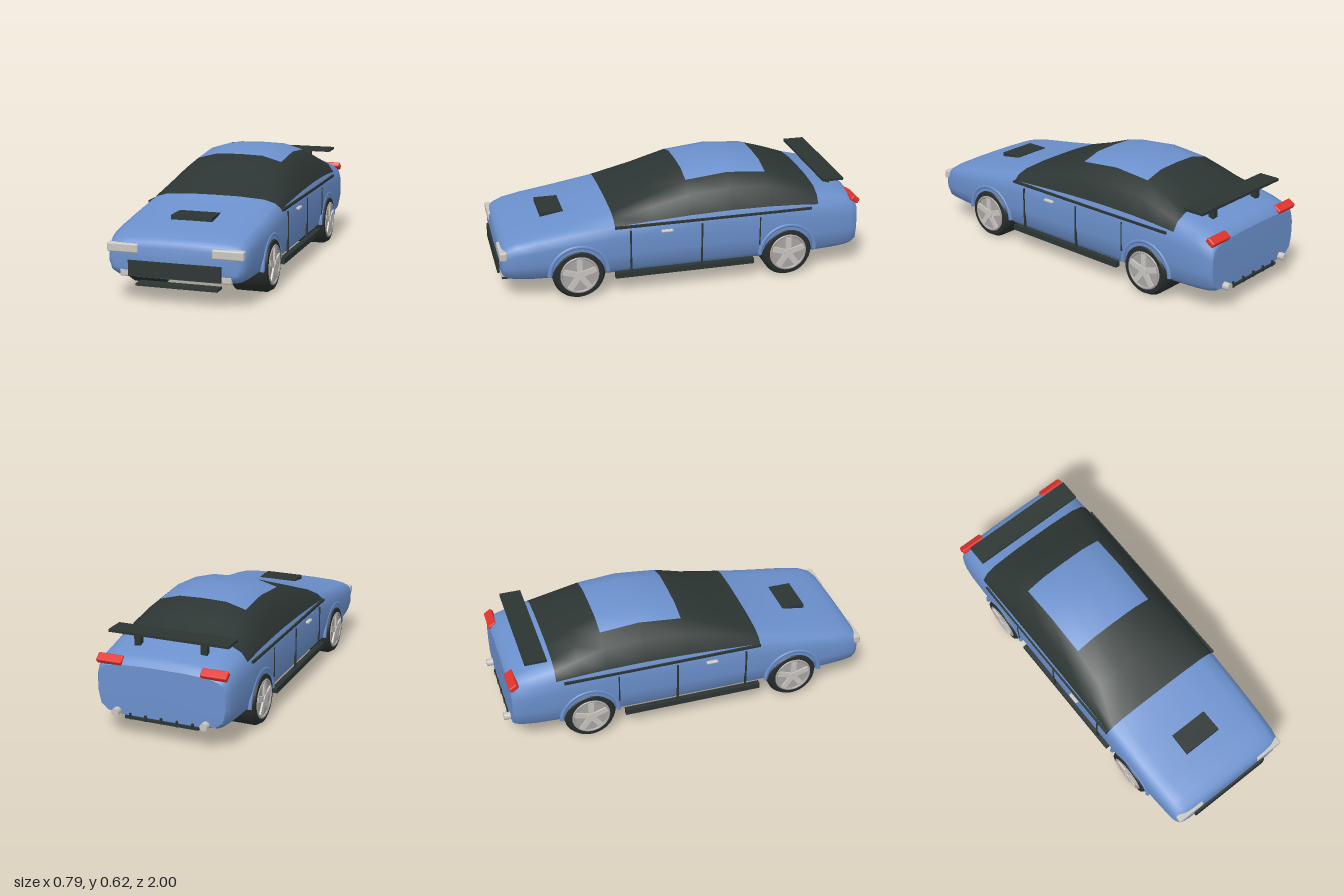
import * as THREE from 'three';
import { toCreasedNormals } from 'three/addons/utils/BufferGeometryUtils.js';
import { RoundedBoxGeometry } from 'three/addons/geometries/RoundedBoxGeometry.js';

const mat = (name, color) => {
  const m = new THREE.MeshStandardMaterial({ color });
  m.name = name;
  return m;
};

export function createModel() {
  const car = new THREE.Group();
  car.name = 'car';
  const blue = mat('bluePaint', 0x6b90cc);
  const dark = mat('darkTrim', 0x2c3533);
  const rubber = mat('tyreRubber', 0x272d2c);
  const silver = mat('silver', 0xc9c6c0);
  const alloy = mat('alloy', 0xaaa5a5);
  const red = mat('redLamp', 0xe0332c);

  const add = (name, geometry, material, x = 0, y = 0, z = 0, parent = car) => {
    const m = new THREE.Mesh(geometry, material);
    m.name = name;
    m.position.set(x, y, z);
    parent.add(m);
    return m;
  };
  const box = (name, material, w, h, d, x, y, z, parent) =>
    add(name, new THREE.BoxGeometry(w, h, d), material, x, y, z, parent);
  const soft = (name, material, w, h, d, x, y, z) =>
    add(name, new RoundedBoxGeometry(w, h, d, 2, 0.008), material, x, y, z);

  // Body stations, front to rear: z, half width, floor, belt line, top, cabin taper
  const stations = [
    [0.985, 0.325, 0.16, 0.25, 0.28, 0],
    [0.975, 0.345, 0.137, 0.275, 0.305, 0],
    [0.95, 0.357, 0.12, 0.295, 0.325, 0],
    [0.9, 0.364, 0.11, 0.315, 0.345, 0],
    [0.8, 0.37, 0.102, 0.332, 0.365, 0],
    [0.6, 0.374, 0.095, 0.358, 0.397, 0],
    [0.39, 0.375, 0.09, 0.385, 0.44, 0],
    [0.18, 0.375, 0.09, 0.398, 0.52, 0.6],
    [-0.02, 0.375, 0.09, 0.408, 0.594, 1],
    [-0.25, 0.375, 0.09, 0.414, 0.621, 1],
    [-0.46, 0.375, 0.09, 0.412, 0.6, 1],
    [-0.6, 0.375, 0.09, 0.406, 0.545, 0.5],
    [-0.73, 0.374, 0.092, 0.396, 0.486, 0],
    [-0.85, 0.37, 0.097, 0.385, 0.452, 0],
    [-0.92, 0.362, 0.103, 0.372, 0.428, 0],
    [-0.95, 0.354, 0.11, 0.36, 0.408, 0],
    [-0.965, 0.342, 0.118, 0.345, 0.385, 0],
  ];
  const section = ([z, w, floor, belt, top, c]) => {
    const s = belt - floor, h = top - belt;
    const half = [
      [0, floor], [0.6 * w, floor], [0.85 * w, floor + 0.05 * s], [0.96 * w, floor + 0.18 * s],
      [w, floor + 0.45 * s], [w, floor + 0.8 * s], [0.965 * w, belt],
      [(0.88 - 0.05 * c) * w, belt + 0.5 * h], [(0.72 - 0.08 * c) * w, belt + 0.82 * h],
      [0.35 * w, belt + 0.98 * h], [0, top],
    ];
    const other = half.slice(1, -1).reverse().map(([x, y]) => [-x, y]);
    return [...half, ...other].map(([x, y]) => [x, y, z]);
  };
  const N = 20, positions = [], paintFaces = [], glassFaces = [];
  stations.forEach((st) => section(st).forEach((p) => positions.push(...p)));
  for (let i = 0; i < stations.length - 1; i++) {
    const zMid = (stations[i][0] + stations[i + 1][0]) / 2;
    for (let j = 0; j < N; j++) {
      const col = Math.min(j, N - 1 - j);
      const cabin = col >= 6 && zMid < 0.39 && zMid > -0.73;
      const roof = col >= 8 && zMid < -0.02 && zMid > -0.46;
      const a = i * N + j, b = i * N + ((j + 1) % N), c = a + N, d = b + N;
      (cabin && !roof ? glassFaces : paintFaces).push(a, c, b, b, c, d);
    }
  }
  // Nose shares its rim for a soft edge; the tail panel has its own for a sharp one
  positions.push(0, 0.21, 0.988);
  const noseCentre = positions.length / 3 - 1;
  const tail = noseCentre + 1;
  section(stations.at(-1)).forEach((p) => positions.push(...p));
  positions.push(0, 0.25, -0.968);
  for (let j = 0; j < N; j++) {
    const k = (j + 1) % N;
    paintFaces.push(noseCentre, j, k, tail + N, tail + k, tail + j);
  }
  const shell = new THREE.BufferGeometry();
  shell.setAttribute('position', new THREE.Float32BufferAttribute(positions, 3));
  shell.setIndex([...paintFaces, ...glassFaces]);
  shell.addGroup(0, paintFaces.length, 0);
  shell.addGroup(paintFaces.length, glassFaces.length, 1);
  shell.computeVertexNormals();
  add('bodyAndWindows', shell, [blue, dark]);

  // Wheels: tyre, rim disc, lip, five spokes and hub; the axle runs along x
  const tyreProfile = [[0, 0], [0.13, 0], [0.14, 0.01], [0.14, 0.165], [0.125, 0.191],
    [0.104, 0.193], [0.1, 0.186], [0, 0.186]].map(([r, y]) => new THREE.Vector2(r, y));
  const tyreGeo = toCreasedNormals(new THREE.LatheGeometry(tyreProfile, 36), 0.5);
  const makeWheel = (name, side, z) => {
    const wheel = new THREE.Group();
    wheel.name = name;
    wheel.position.set(side * 0.19, 0.14, z);
    wheel.rotation.y = side > 0 ? 0 : Math.PI;
    car.add(wheel);
    const disc = (part, material, r, depth, x) => {
      const m = add(part, new THREE.CylinderGeometry(r, r, depth, 32), material, x, 0, 0, wheel);
      m.rotation.z = -Math.PI / 2;
    };
    add('tyre', tyreGeo, rubber, 0, 0, 0, wheel).rotation.z = -Math.PI / 2;
    disc('rimDisc', alloy, 0.1, 0.01, 0.185);
    add('rimLip', new THREE.TorusGeometry(0.097, 0.007, 8, 36), alloy, 0.191, 0, 0, wheel).rotation.y = Math.PI / 2;
    for (let i = 0; i < 5; i++) {
      const pivot = new THREE.Group();
      pivot.name = 'spokePivot';
      pivot.rotation.x = (i * Math.PI * 2) / 5;
      wheel.add(pivot);
      box('spoke', silver, 0.012, 0.075, 0.03, 0.193, 0.055, 0, pivot);
    }
    disc('hub', silver, 0.024, 0.02, 0.194);
  };

  for (const s of [1, -1]) {
    const side = s > 0 ? 'left' : 'right';
    for (const [end, z] of [['Front', 0.585], ['Rear', -0.56]]) {
      makeWheel(`${side}${end}Wheel`, s, z);
      const arch = add(`${side}${end}Arch`, new THREE.TorusGeometry(0.155, 0.012, 8, 28, Math.PI), blue, s * 0.367, 0.14, z);
      arch.rotation.y = Math.PI / 2;
    }
    // Side trim
    box(`${side}BeltStrip`, dark, 0.016, 0.012, 1.08, s * 0.368, 0.381, -0.15);
    box(`${side}Sill`, dark, 0.03, 0.03, 0.76, s * 0.365, 0.11, 0.012);
    for (const [z, y0, w] of [[0.308, 0.13, 0.009], [-0.078, 0.13, 0.009], [-0.4, 0.2, 0.006]])
      box(`${side}DoorSeam`, dark, 0.01, 0.36 - y0, w, s * 0.373, (0.36 + y0) / 2, z);
    soft(`${side}DoorHandle`, silver, 0.022, 0.016, 0.065, s * 0.38, 0.341, 0.113);
    // Lamps and exhaust
    soft(`${side}Headlight`, silver, 0.162, 0.047, 0.04, s * 0.271, 0.271, 0.972);
    soft(`${side}FogLight`, silver, 0.066, 0.04, 0.04, s * 0.255, 0.148, 0.965);
    soft(`${side}TailLight`, red, 0.14, 0.03, 0.05, s * 0.281, 0.395, -0.948).rotation.x = -0.6;
    const pipe = add(`${side}Exhaust`, new THREE.CylinderGeometry(0.02, 0.02, 0.08, 16), silver, s * 0.24, 0.135, -0.96);
    pipe.rotation.x = Math.PI / 2;
    box(`${side}SpoilerStrut`, dark, 0.035, 0.09, 0.03, s * 0.18, 0.47, -0.835);
  }

  // Front and bonnet details
  box('grille', dark, 0.478, 0.078, 0.02, 0, 0.174, 0.988);
  box('frontLip', dark, 0.424, 0.012, 0.07, 0, 0.087, 0.937);
  box('bonnetScoop', dark, 0.218, 0.03, 0.125, 0, 0.382, 0.682);

  // Rear wing and diffuser
  box('spoilerBlade', dark, 0.65, 0.014, 0.116, 0, 0.516, -0.822);
  box('diffuser', dark, 0.4, 0.014, 0.06, 0, 0.107, -0.94);
  for (let i = -2; i <= 2; i++) box('diffuserFin', dark, 0.01, 0.032, 0.06, i * 0.085, 0.116, -0.943);

  return car;
}
